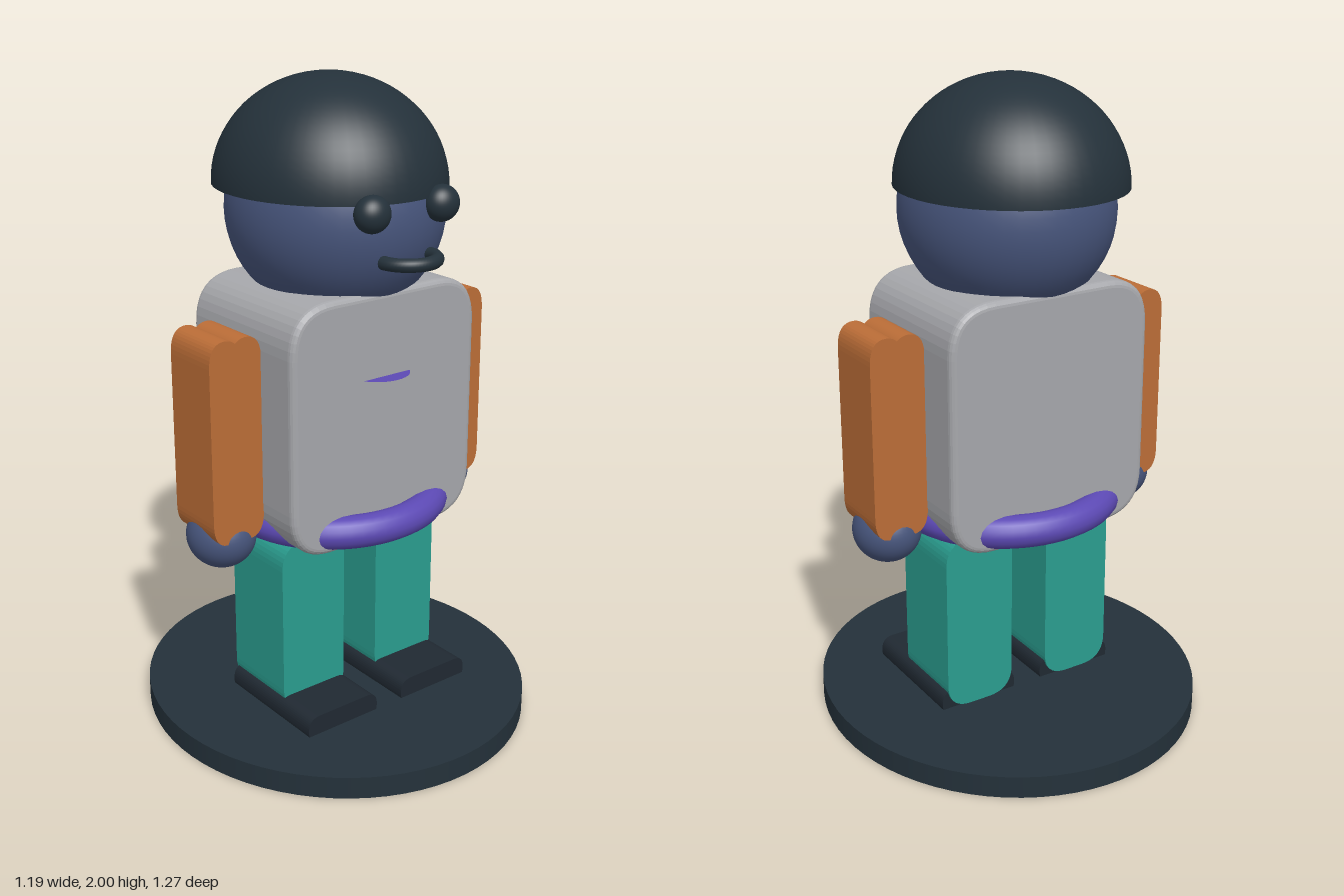
import * as THREE from 'three';

const mat = (name, color, side = THREE.FrontSide) => {
  const m = new THREE.MeshStandardMaterial({ color, side });
  m.name = name;
  return m;
};

// Rounded rectangle centred on x = 0, from y0 to y1
function roundedRect(w, y0, y1, r) {
  const a = w / 2;
  const s = new THREE.Shape();
  s.moveTo(-a + r, y0);
  s.lineTo(a - r, y0);
  s.quadraticCurveTo(a, y0, a, y0 + r);
  s.lineTo(a, y1 - r);
  s.quadraticCurveTo(a, y1, a - r, y1);
  s.lineTo(-a + r, y1);
  s.quadraticCurveTo(-a, y1, -a, y1 - r);
  s.lineTo(-a, y0 + r);
  s.quadraticCurveTo(-a, y0, -a + r, y0);
  return s;
}

// Sleeve outline with a shallow groove in the middle of both ends
function sleeveShape(w, y0, y1) {
  const a = w / 2, r = 0.075, notch = 0.014;
  const s = new THREE.Shape();
  s.moveTo(0, y0 + notch);
  s.quadraticCurveTo(0.015, y0, 0.036, y0);
  s.quadraticCurveTo(a, y0, a, y0 + r);
  s.lineTo(a, y1 - r);
  s.quadraticCurveTo(a, y1, 0.036, y1);
  s.quadraticCurveTo(0.015, y1, 0, y1 - notch);
  s.quadraticCurveTo(-0.015, y1, -0.036, y1);
  s.quadraticCurveTo(-a, y1, -a, y1 - r);
  s.lineTo(-a, y0 + r);
  s.quadraticCurveTo(-a, y0, -0.036, y0);
  s.quadraticCurveTo(-0.015, y0, 0, y0 + notch);
  return s;
}

// Extrude a front outline between two depths, with an optional rounded edge
function slab(shape, zBack, zFront, bevel = 0) {
  const g = new THREE.ExtrudeGeometry(shape, {
    depth: zFront - zBack - 2 * bevel, curveSegments: 10,
    bevelEnabled: bevel > 0, bevelSize: bevel, bevelThickness: bevel,
    bevelOffset: -bevel, bevelSegments: 4,
  });
  return g.translate(0, 0, zBack + bevel);
}

const ball = (rx, ry, rz) => new THREE.SphereGeometry(1, 40, 28).scale(rx, ry, rz);

export function createModel() {
  const model = new THREE.Group();
  model.name = 'figurine';

  const dark = mat('dark slate', 0x24313a, THREE.DoubleSide);
  const shoeDark = mat('shoe charcoal', 0x202932);
  const skin = mat('blue skin', 0x47557c);
  const grey = mat('shirt grey', 0xa6a7ab);
  const orange = mat('sleeve orange', 0xbb6d37);
  const teal = mat('trouser teal', 0x2a9d8f);
  const purple = mat('belt purple', 0x5c49b4, THREE.DoubleSide);

  const add = (name, geometry, material, x = 0, y = 0, z = 0) => {
    const m = new THREE.Mesh(geometry, material);
    m.name = name;
    m.position.set(x, y, z);
    model.add(m);
    return m;
  };

  // Oval stand
  add('base', new THREE.CylinderGeometry(1, 1, 0.07, 72).scale(0.595, 1, 0.635), dark, 0, 0.035, 0);

  // Torso, belt ring and the thin chest disc
  add('torso', slab(roundedRect(0.685, 0.64, 1.41, 0.15), -0.25, 0.25, 0.02), grey);
  add('belt', new THREE.TorusGeometry(0.295, 0.05, 16, 64).rotateX(Math.PI / 2).scale(1.055, 1, 1), purple, 0, 0.7, 0);
  add('chestBadge', new THREE.CircleGeometry(0.1, 40).rotateX(-Math.PI / 2), purple, 0, 1.155, 0.2);

  // Head and hair cap
  add('head', ball(0.318, 0.318, 0.338), skin, 0, 1.61, 0);
  add('hair', new THREE.SphereGeometry(1, 48, 20, 0, Math.PI * 2, 0, Math.PI / 2)
    .scale(0.339, 0.32, 0.364), dark, 0, 1.68, -0.024);

  // Mouth: half ring lying flat and bulging forward
  add('mouth', new THREE.TorusGeometry(0.085, 0.02, 12, 32, Math.PI).rotateX(Math.PI / 2), dark, 0, 1.52, 0.328);

  // Paired parts
  for (const [label, s] of [['left', 1], ['right', -1]]) {
    add(label + 'Eye', ball(0.055, 0.053, 0.047), dark, s * 0.125, 1.66, 0.328);
    add(label + 'Arm', slab(sleeveShape(0.175, 0.69, 1.31), -0.1, 0.1), orange, s * 0.428);
    add(label + 'Hand', ball(0.103, 0.1, 0.11), skin, s * 0.427, 0.68, 0);
    add(label + 'Leg', slab(roundedRect(0.234, 0.07, 0.645, 0.085), -0.13, 0.13), teal, s * 0.181);
    add(label + 'Shoe', slab(roundedRect(0.265, 0.045, 0.132, 0.042), -0.122, 0.28), shoeDark, s * 0.182);
  }
  return model;
}
